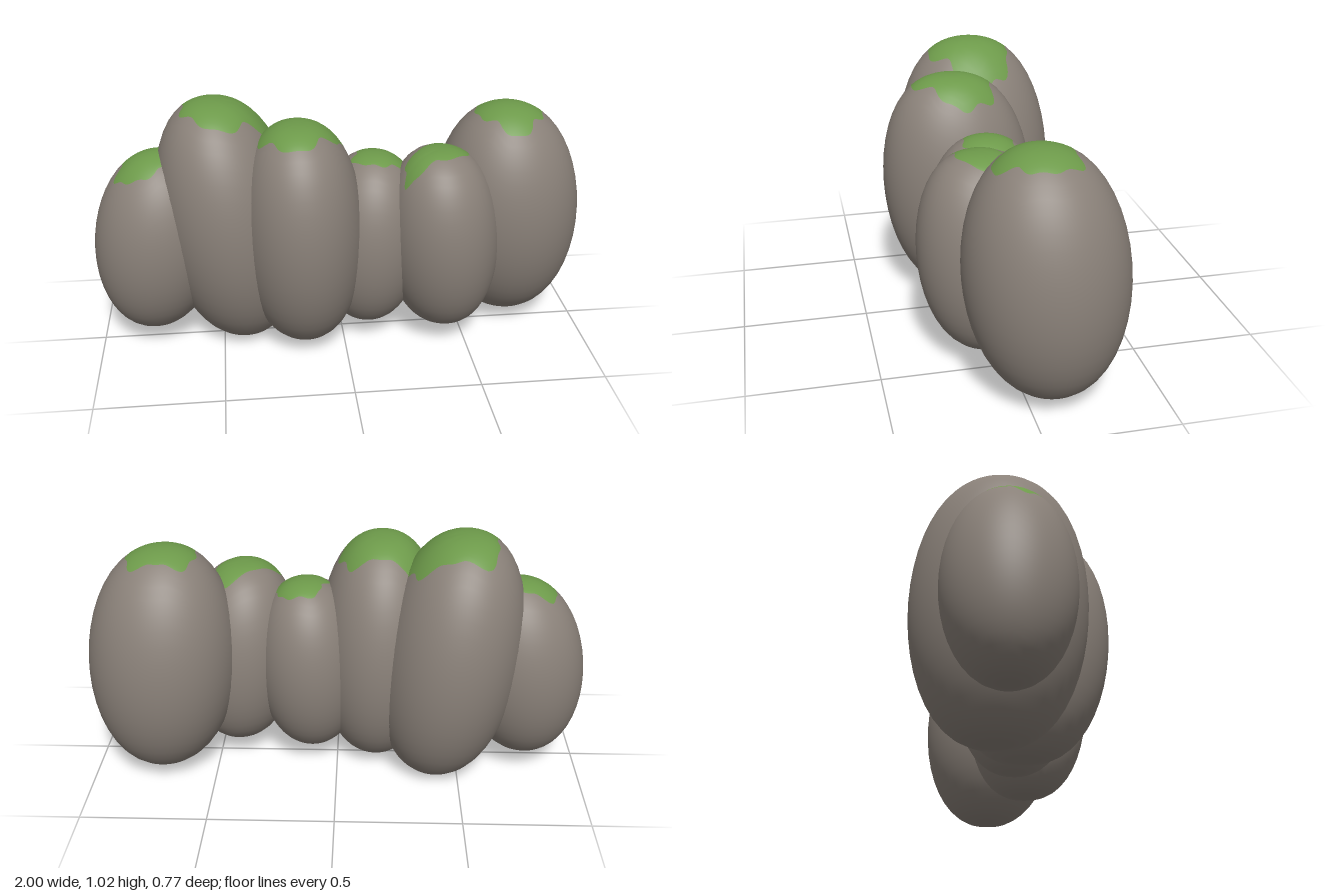
import * as THREE from 'three';

const SEG = 96, MOSS_RINGS = 6, STONE_RINGS = 20, EDGE_POINTS = 60;

// c: centre x,z; r: radii x,z; y: bottom,top; lean: shift of the top in x,z (bottom shifts the other way)
// bulk: below 1 is boxier; patch: moss centre x,z, radii, turn and wobble phase, seen from above
const rock = (name, c, r, y, lean, bulk, patch) => ({ name, c, r, y, lean, bulk, patch });
const rocks = () => [
  rock('outerRightRock', [-0.75, -0.02], [0.25, 0.24], [0.07, 0.83], [0.03, 0], 0.9, [-0.76, 0, 0.125, 0.11, 0, 1]),
  rock('tallRock', [-0.455, -0.053], [0.285, 0.333], [0, 1.025], [-0.05, 0.01], 0.81, [-0.455, -0.05, 0.175, 0.17, 0, 2]),
  rock('frontRock', [-0.17, 0.07], [0.252, 0.312], [0.03, 0.965], [-0.01, 0.025], 0.78, [-0.18, 0.075, 0.165, 0.16, 0, 2.6]),
  rock('smallRock', [0.115, 0.015], [0.22, 0.24], [0.07, 0.8], [0.01, 0], 0.83, [0.15, 0.01, 0.11, 0.1, 0, 0.5]),
  rock('lowRock', [0.4, 0.082], [0.232, 0.255], [0.07, 0.84], [-0.02, 0.015], 0.78, [0.38, 0.09, 0.17, 0.08, -0.6, 4]),
  rock('outerLeftRock', [0.7, -0.075], [0.3, 0.3], [0.037, 0.963], [-0.02, 0.02], 0.88, [0.685, -0.045, 0.135, 0.145, 0, 3.14]),
];

// Moss edge as a function: heading around the rock -> angle down from its top
function mossEdge({ c, r, lean, bulk, patch }) {
  const [px, pz, rx, rz, turn, phase] = patch;
  const pts = [];
  for (let i = 0; i < EDGE_POINTS; i++) {
    const t = (i / EDGE_POINTS) * 2 * Math.PI;
    const w = 1 + 0.1 * Math.sin(3 * t + phase) + 0.07 * Math.sin(5 * t) + 0.05 * Math.sin(9 * t + phase);
    const ex = rx * w * Math.cos(t), ez = rz * w * Math.sin(t);
    const x = px + ex * Math.cos(turn) - ez * Math.sin(turn);
    const z = pz + ex * Math.sin(turn) + ez * Math.cos(turn);
    const u = (x - c[0] - lean[0] * 0.85) / r[0];
    const v = (z - c[1] - lean[1] * 0.85) / r[1];
    const d = Math.min(0.95, Math.hypot(u, v));
    pts.push([Math.atan2(v, u), Math.asin(Math.pow(d, 1 / bulk))]);
  }
  pts.sort((a, b) => a[0] - b[0]);
  const first = pts[0], last = pts[pts.length - 1];
  pts.unshift([last[0] - 2 * Math.PI, last[1]]);
  pts.push([first[0] + 2 * Math.PI, first[1]]);
  return (heading) => {
    let k = 1;
    while (k < pts.length - 1 && pts[k][0] < heading) k++;
    const [a0, p0] = pts[k - 1], [a1, p1] = pts[k];
    return p0 + (p1 - p0) * (heading - a0) / Math.max(1e-4, a1 - a0);
  };
}

// Bulky leaning ellipsoid; its first rings follow the moss outline
function rockGeometry(spec) {
  const { c, r, y, lean, bulk } = spec;
  const edge = mossEdge(spec), rings = MOSS_RINGS + STONE_RINGS;
  const ry = (y[1] - y[0]) / 2 * 1.01, cy = y[1] - ry;
  const pos = [], index = [];
  const addPoint = (phi, a) => {
    const s = Math.pow(Math.max(0, Math.sin(phi)), bulk), h = Math.cos(phi);
    pos.push(
      c[0] + r[0] * s * Math.cos(a) + lean[0] * h,
      Math.max(y[0], cy + ry * h),
      c[1] + r[1] * s * Math.sin(a) + lean[1] * h);
  };
  addPoint(0, 0);
  for (let i = 1; i < rings; i++) {
    for (let j = 0; j < SEG; j++) {
      const a = -Math.PI + (j / SEG) * 2 * Math.PI, m = edge(a);
      const phi = i <= MOSS_RINGS ? m * i / MOSS_RINGS
        : m + (Math.PI - m) * (i - MOSS_RINGS) / STONE_RINGS;
      addPoint(phi, a);
    }
  }
  addPoint(Math.PI, 0);

  const id = (i, j) => {
    if (i === 0) return 0;
    return i === rings ? 1 + (rings - 1) * SEG : 1 + (i - 1) * SEG + (j % SEG);
  };
  for (let i = 0; i < rings; i++) {
    for (let j = 0; j < SEG; j++) {
      const a = id(i, j), b = id(i, j + 1), d = id(i + 1, j), e = id(i + 1, j + 1);
      if (i > 0) index.push(a, b, d);
      if (i < rings - 1) index.push(b, e, d);
    }
  }
  const mossCount = (2 * MOSS_RINGS - 1) * SEG * 3;
  const geo = new THREE.BufferGeometry();
  geo.setAttribute('position', new THREE.Float32BufferAttribute(pos, 3));
  geo.setIndex(index);
  geo.addGroup(0, mossCount, 0);
  geo.addGroup(mossCount, index.length - mossCount, 1);
  geo.computeVertexNormals();
  return geo;
}

export function createModel() {
  const moss = new THREE.MeshStandardMaterial({ color: 0x6d9a4a });
  moss.name = 'moss green';
  const stone = new THREE.MeshStandardMaterial({ color: 0x8a8179 });
  stone.name = 'stone grey';

  const group = new THREE.Group();
  group.name = 'mossyRocks';
  for (const spec of rocks()) {
    const mesh = new THREE.Mesh(rockGeometry(spec), [moss, stone]);
    mesh.name = spec.name;
    group.add(mesh);
  }
  return group;
}
